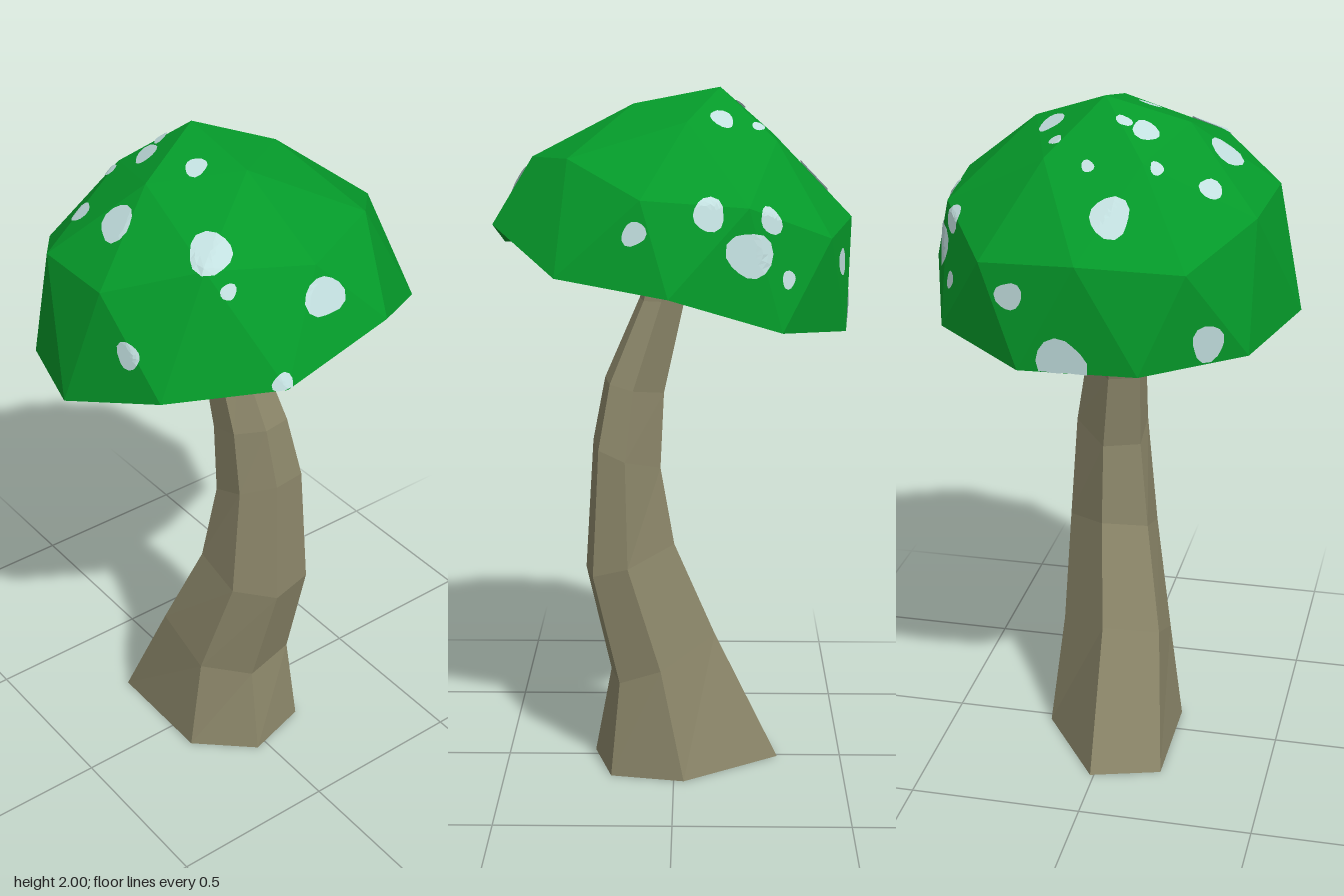
import * as THREE from 'three';

const green = new THREE.MeshStandardMaterial({ color: 0x059a2a, flatShading: true });
green.name = 'capGreen';
const pale = new THREE.MeshStandardMaterial({ color: 0xc2dfdf, side: THREE.DoubleSide, flatShading: true });
pale.name = 'spotPale';
const bark = new THREE.MeshStandardMaterial({ color: 0x8b8669, flatShading: true });
bark.name = 'stemBrown';

const CENTRE = new THREE.Vector3(0, 1.45, 0);
const TILT = 0.23, RIM_RADIUS = 0.525;
const RIM_Y = [1.54, 1.5, 1.39, 1.355, 1.34, 1.335, 1.375, 1.48, 1.52, 1.63];
// Rings of the dome as [radius, height]: apex, inner five, middle even and odd
const OUTER = [[0, 0.56], [0.225, 0.46], [0.47, 0.251], [0.446, 0.294]];
const UNDER = [[0, 0.145], [0.235, 0.125], [0.435, 0.075], [0.415, 0.085]];

function geometryFrom(points, faces) {
  const g = new THREE.BufferGeometry();
  g.setAttribute('position', new THREE.Float32BufferAttribute(points.flatMap(p => [p.x, p.y, p.z]), 3));
  g.setIndex(faces.flat());
  const out = g.toNonIndexed();
  out.computeVertexNormals();
  return out;
}

// Tilted half of a once-divided icosahedron; flipped, it forms the hollow underside
function domeGeometry(rings, flip) {
  const pts = [], faces = [], step = Math.PI / 5;
  const add = ([r, h], azimuth) => {
    const lx = r * Math.cos(azimuth);
    pts.push(new THREE.Vector3(
      lx * Math.cos(TILT) - h * Math.sin(TILT),
      CENTRE.y + h * Math.cos(TILT) + lx * Math.sin(TILT),
      r * Math.sin(azimuth)));
  };
  add(rings[0], 0);
  for (let k = 0; k < 5; k++) add(rings[1], 2 * k * step);
  for (let j = 0; j < 10; j++) add(rings[2 + j % 2], j * step);
  for (let j = 0; j < 10; j++) {
    const a = (j + 0.5) * step;
    pts.push(new THREE.Vector3(RIM_RADIUS * 0.98 * Math.cos(a) + 0.01, RIM_Y[j], RIM_RADIUS * Math.sin(a)));
  }
  const inner = k => 1 + k % 5, mid = j => 6 + j % 10, rim = j => 16 + j % 10;
  for (let k = 0; k < 5; k++) {
    faces.push([0, inner(k + 1), inner(k)],
      [inner(k), inner(k + 1), mid(2 * k + 1)],
      [inner(k), mid(2 * k + 1), mid(2 * k)],
      [mid(2 * k + 1), inner(k + 1), mid(2 * k + 2)]);
  }
  for (let j = 0; j < 10; j++) {
    faces.push([mid(j), mid(j + 1), rim(j)], [mid(j), rim(j), rim(j + 9)]);
  }
  return geometryFrom(pts, flip ? faces.map(f => [f[0], f[2], f[1]]) : faces);
}

const ray = new THREE.Raycaster();
function hit(mesh, origin, direction) {
  ray.set(origin, direction.clone().normalize());
  const h = ray.intersectObject(mesh)[0];
  return h && h.point.clone().addScaledVector(h.face.normal, 0.005);
}

// Irregular round patch wrapped onto the faceted cap
function spotGeometry(probe, [x, z, radius, y], seed) {
  const p = y ? new THREE.Vector3(x, y, z)
    : hit(probe, new THREE.Vector3(x, 3, z), new THREE.Vector3(0, -1, 0));
  const d = p.clone().sub(CENTRE);
  const n = d.clone().normalize();
  const u = new THREE.Vector3(0, 1, 0).cross(n).normalize();
  const v = n.clone().cross(u);
  const project = (r, a) => {
    const q = d.clone().addScaledVector(u, r * Math.cos(a)).addScaledVector(v, r * Math.sin(a));
    let h = hit(probe, CENTRE, q);
    for (let i = 0; i < 60 && !h; i++) { // keep the patch above the rim
      q.y += 0.005;
      h = hit(probe, CENTRE, q);
    }
    return h || p;
  };
  const SIDES = 14, RINGS = 4, pts = [project(0, 0)], faces = [];
  for (let i = 1; i <= RINGS; i++) {
    for (let s = 0; s < SIDES; s++) {
      const a = s / SIDES * Math.PI * 2;
      const wobble = 1 + 0.1 * Math.sin(2 * a + seed) + 0.07 * Math.sin(3 * a + seed * 2.3);
      pts.push(project(radius * wobble * i / RINGS, a));
      const b = 1 + (i - 1) * SIDES, t = (s + 1) % SIDES;
      if (i === 1) faces.push([0, 1 + s, 1 + t]);
      else faces.push([b - SIDES + s, b + s, b + t], [b - SIDES + s, b + t, b - SIDES + t]);
    }
  }
  return geometryFrom(pts, faces);
}

// Thin pale vein on the underside
function veinGeometry(probe, path, halfWidth) {
  const curve = new THREE.CatmullRomCurve3(path.map(([x, z]) => new THREE.Vector3(x, 0, z)));
  const pts = [], faces = [], N = 30, up = new THREE.Vector3(0, 1, 0);
  for (let i = 0; i <= N; i++) {
    const c = curve.getPoint(i / N), side = up.clone().cross(curve.getTangent(i / N));
    for (const s of [-1, 1]) {
      pts.push(hit(probe, c.clone().addScaledVector(side, s * halfWidth), up) || hit(probe, c, up));
    }
    if (i) faces.push([2 * i - 2, 2 * i - 1, 2 * i], [2 * i - 1, 2 * i + 1, 2 * i]);
  }
  return geometryFrom(pts, faces);
}

// Six-sided bent stem: rings of [y, left, right, back, front, slope, front corner]
function stemGeometry() {
  const rings = [
    [0, -0.31, 0.24, -0.2, 0.19, 0, 0.49],
    [0.33, -0.12, 0.19, -0.17, 0.15, 0.4, 0.42],
    [0.64, 0, 0.26, -0.17, 0.09, 0.3, 0.38],
    [0.95, 0.04, 0.235, -0.15, 0.06, -0.4, 0.34],
    [1.15, 0.03, 0.2, -0.115, 0.06, -0.25, 0.32],
    [1.4, -0.03, 0.1, -0.067, 0.065, 0, 0.38],
    [1.6, -0.06, 0.045, -0.05, 0.055, -0.23, 0.38],
  ];
  const pts = [], faces = [];
  rings.forEach(([y, l, r, b, f, slope, corner], i) => {
    const hex = [[1, 0.2], [0.8, -0.8], [0.02, -1], [-1, -0.03], [-0.78, 1], [corner, 1]];
    hex.forEach(([hx, hz], s) => {
      const dx = hx * (r - l) / 2;
      pts.push(new THREE.Vector3((l + r) / 2 + dx, y - slope * dx, (b + f) / 2 + hz * (f - b) / 2));
      const t = (s + 1) % 6, lo = (i - 1) * 6, hi = i * 6;
      if (i) faces.push([lo + s, lo + t, hi + t], [lo + s, hi + t, hi + s]);
    });
  });
  const top = (rings.length - 1) * 6;
  for (let s = 1; s < 5; s++) faces.push([0, s + 1, s], [top, top + s, top + s + 1]);
  return geometryFrom(pts, faces);
}

// Spots: x, z, radius and, on steep sides, y
const SPOTS = [
  [-0.13, -0.145, 0.037], [-0.23, -0.11, 0.019], [-0.295, -0.01, 0.018],
  [-0.395, 0.07, 0.056], [-0.17, 0.115, 0.038], [-0.18, 0.06, 0.02],
  [0.015, 0.09, 0.031], [-0.27, 0.165, 0.021], [-0.215, 0.3, 0.035],
  [-0.03, 0.31, 0.055], [0.25, 0.22, 0.06], [0.33, 0.225, 0.021],
  [0.445, 0, 0.055, 1.73], [0.205, 0.46, 0.037, 1.6], [-0.095, -0.44, 0.044, 1.69],
  [0.1, -0.47, 0.033, 1.645], [-0.205, -0.44, 0.064, 1.585], [-0.265, -0.4, 0.037, 1.675],
  [-0.315, -0.4, 0.024, 1.515], [-0.45, -0.18, 0.038, 1.53], [-0.485, -0.04, 0.066, 1.37],
  [-0.375, 0.33, 0.05, 1.41], [0.49, 0.17, 0.027, 1.555],
];

export function createModel() {
  const model = new THREE.Group();
  model.name = 'mushroom';
  const add = (name, geometry, material, parent = model) => {
    const m = new THREE.Mesh(geometry, material);
    m.name = name;
    parent.add(m);
    return m;
  };
  add('stem', stemGeometry(), bark);
  const cap = add('cap', domeGeometry(OUTER, false), green);
  const underside = add('capUnderside', domeGeometry(UNDER, true), green);

  // Probe sees both faces so patches can be cast from the inside out
  const probe = new THREE.Mesh(cap.geometry, pale);
  const spots = new THREE.Group();
  spots.name = 'spots';
  model.add(spots);
  SPOTS.forEach((s, i) => add('spot', spotGeometry(probe, s, i * 1.7), pale, spots));

  add('undersideVein', veinGeometry(underside, [[0.465, 0.165], [0.27, 0.18], [0.1, 0.17], [-0.2, 0.3]], 0.015), pale);
  add('rimVein', veinGeometry(underside, [[-0.458, 0.14], [-0.45, 0.03], [-0.465, -0.13]], 0.009), pale);
  return model;
}
